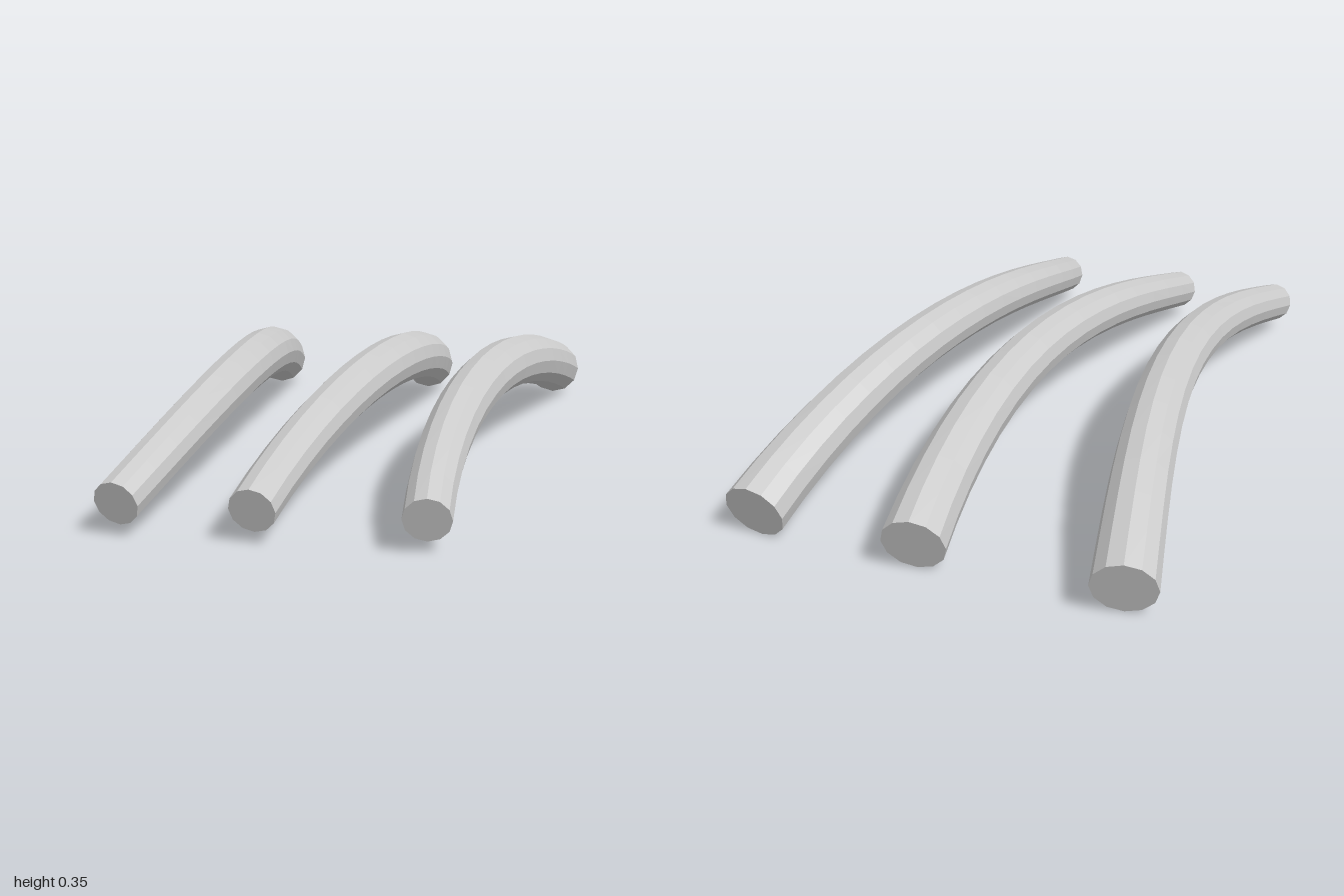
import * as THREE from 'three';

const SIDES = 12, STEPS = 16;
const FRONT_RADIUS = 0.066, BACK_RADIUS = 0.093;

// Centre line of a rod: t = 0 at the front end, t = 1 at the back end
function centre(t, { front, back, bow }) {
  const ease = t * t * (3 - 2 * t);
  const arch = Math.sin(Math.PI * t);
  return new THREE.Vector3(
    THREE.MathUtils.lerp(front, back, ease) + bow * arch,
    THREE.MathUtils.lerp(0.096, 0.09, t) + 0.183 * arch,
    THREE.MathUtils.lerp(0.982, -0.973, t)
  );
}

// Capped cylinder bent along the centre line, thickening toward the back
function bentRod(path) {
  const geometry = new THREE.CylinderGeometry(1, 1, 1, SIDES, STEPS);
  const position = geometry.attributes.position;
  const v = new THREE.Vector3();
  for (let i = 0; i < position.count; i++) {
    v.fromBufferAttribute(position, i);
    const t = 0.5 - v.y;
    const radius = THREE.MathUtils.lerp(FRONT_RADIUS, BACK_RADIUS, t);
    const forward = centre(t - 0.001, path).sub(centre(t + 0.001, path)).normalize();
    const side = new THREE.Vector3(0, 1, 0).cross(forward).normalize();
    const up = forward.clone().cross(side);
    const p = centre(t, path)
      .addScaledVector(side, v.x * radius)
      .addScaledVector(up, -v.z * radius);
    position.setXYZ(i, p.x, p.y, p.z);
  }
  geometry.computeVertexNormals();
  return geometry;
}

export function createModel() {
  const group = new THREE.Group();
  group.name = 'curvedRods';
  const material = new THREE.MeshStandardMaterial({ color: 0xcccccc, flatShading: true });

  // x of the front end, x of the back end, sideways bow at the middle
  const rods = [
    { name: 'rightRod', front: -0.53, back: -0.545, bow: 0.12 },
    { name: 'middleRod', front: -0.16, back: 0.05, bow: 0.075 },
    { name: 'leftRod', front: 0.3, back: 0.54, bow: -0.04 },
  ];
  for (const rod of rods) {
    const mesh = new THREE.Mesh(bentRod(rod), material);
    mesh.name = rod.name;
    group.add(mesh);
  }
  return group;
}
